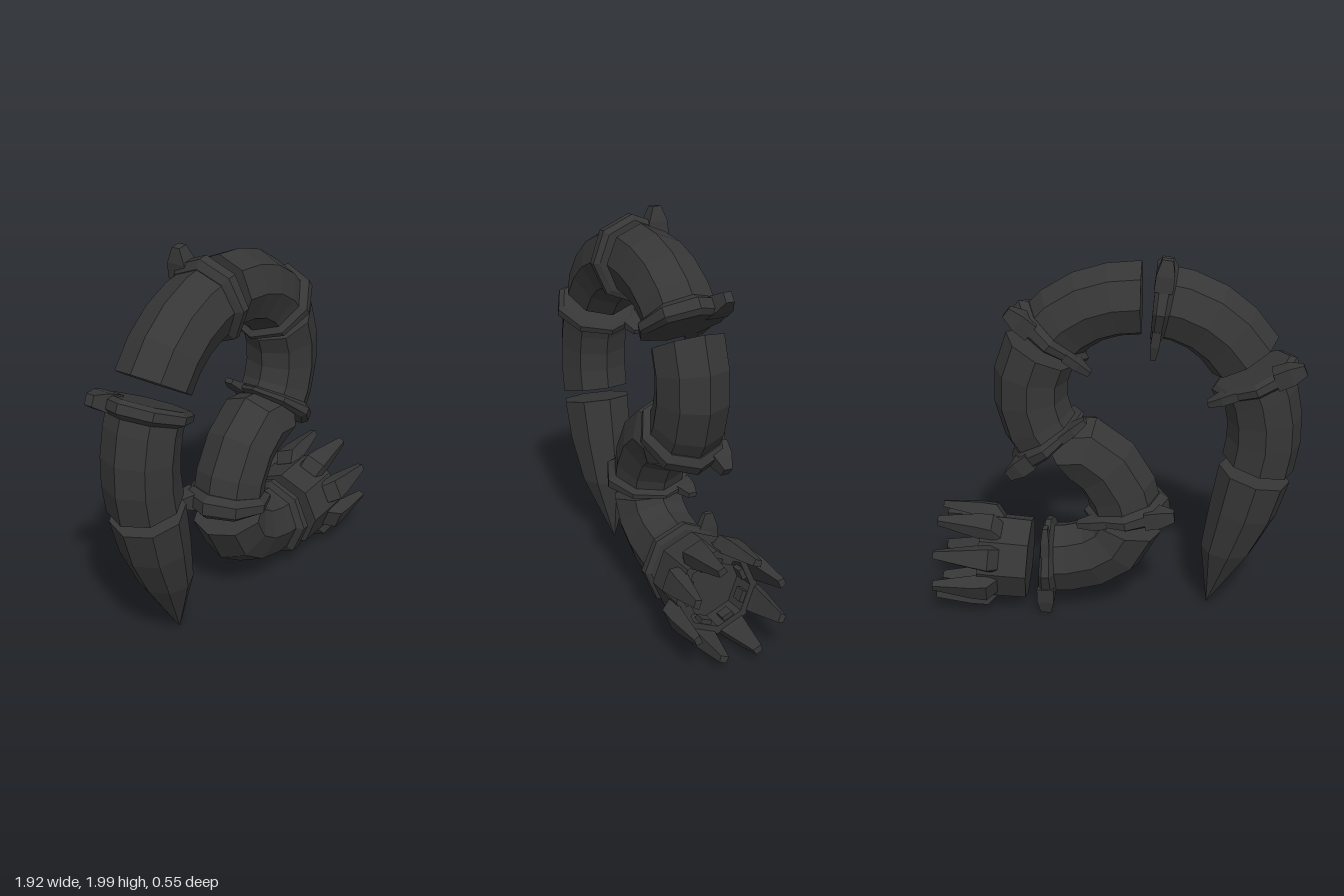
import * as THREE from 'three';

const SIDES = 8;
const V = (x, y, z = 0) => new THREE.Vector3(x, y, z);

// Skin equal-length point loops (counter-clockwise about the direction of travel) and cap both ends
function loft(loops) {
  const pos = [], n = loops[0].length;
  const tri = (...p) => p.forEach(v => pos.push(v.x, v.y, v.z));
  for (let i = 0; i < loops.length - 1; i++) {
    const a = loops[i], b = loops[i + 1];
    for (let k = 0; k < n; k++) {
      const m = (k + 1) % n;
      tri(a[k], a[m], b[m]);
      tri(a[k], b[m], b[k]);
    }
  }
  const first = loops[0], last = loops[loops.length - 1];
  for (let k = 1; k < n - 1; k++) {
    tri(first[0], first[k + 1], first[k]);
    tri(last[0], last[k], last[k + 1]);
  }
  const geo = new THREE.BufferGeometry();
  geo.setAttribute('position', new THREE.Float32BufferAttribute(pos, 3));
  geo.computeVertexNormals();
  return geo;
}

// Cross-section frame: centre, tangent and in-plane normal
function frame(P, tangent) {
  const T = tangent.clone().normalize();
  return { P, T, N: V(-T.y, T.x) };
}

const frameAt = (curve, t) => frame(curve.getPoint(t), curve.getTangent(t));

const place = (f, n, z, t = 0) => f.P.clone().addScaledVector(f.N, n).addScaledVector(f.T, t).add(V(0, 0, z));

function octagon(f, r) {
  return Array.from({ length: SIDES }, (_, k) => {
    const a = k * Math.PI * 2 / SIDES;
    return place(f, r * Math.cos(a), r * Math.sin(a));
  });
}

// sections: [curve parameter, radius]
const sweep = (curve, sections) => loft(sections.map(([t, r]) => octagon(frameAt(curve, t), r)));

export function createModel() {
  const model = new THREE.Group();
  model.name = 'segmentedTentacle';
  const mat = new THREE.MeshStandardMaterial({ color: 0x363636, flatShading: true });
  mat.name = 'charcoal';
  const add = (parent, name, geo) => {
    const mesh = new THREE.Mesh(geo, mat);
    mesh.name = name;
    parent.add(mesh);
    return mesh;
  };

  // Curved segments: start, start direction, end, end direction, side of the outer bend
  const segments = [
    [[-0.75, 0.87], [-0.24, 0.97], [-0.70, 1.38], [0.41, 0.91], 1],
    [[-0.66, 1.46], [0.53, 0.85], [-0.20, 1.74], [1, 0.08], 1],
    [[-0.14, 1.75], [1, 0], [0.33, 1.53], [0.56, -0.83], 1],
    [[0.37, 1.47], [0.46, -0.89], [0.31, 0.96], [-0.68, -0.73], 1],
    [[0.275, 0.915], [-0.87, 0.5], [-0.075, 0.548], [-0.02, -1], -1],
    [[-0.07, 0.49], [0.25, -0.97], [0.385, 0.27], [1, 0.05], -1],
  ];
  segments.forEach(([s, ds, e, de, outer], i) => {
    const group = new THREE.Group();
    group.name = 'segment' + (i + 1);
    model.add(group);
    const p0 = V(...s), p3 = V(...e), h = p0.distanceTo(p3) * 0.37;
    const curve = new THREE.CubicBezierCurve3(
      p0, p0.clone().addScaledVector(V(...ds).normalize(), h),
      p3.clone().addScaledVector(V(...de).normalize(), -h), p3);
    add(group, 'tube', sweep(curve, [0, 0.25, 0.5, 0.75, 0.97].map(t => [t, 0.19])));
    add(group, 'collar', sweep(curve, [[0.86, 0.19], [0.9, 0.228], [0.97, 0.228], [1, 0.2]]));

    // Two blunt spikes on the back of the collar, thicker on the outer bend
    const f = frameAt(curve, 0.94);
    for (const side of [1, -1]) {
      const thick = side === outer ? 0.045 : 0.022;
      const quad = (r, z, hz, ht) => [[1, 1], [-1, 1], [-1, -1], [1, -1]].map(
        ([a, b]) => place(f, side * r, z + side * a * hz, b * ht));
      add(group, 'spike', loft([quad(0.1, -0.13, 0.06, thick), quad(0.18, -0.135, 0.05, thick),
        quad(0.255, -0.14, 0.022, thick * 0.6)]));
    }
  });

  // Pointed tail tip: centre, direction, radius
  add(model, 'tailTip', loft([
    [V(-0.735, 0.807), V(0.24, -0.97), 0.19],
    [V(-0.685, 0.6), V(0.2, -0.97), 0.178],
    [V(-0.61, 0.365), V(0.05, -1), 0.14],
    [V(-0.51, 0.02), V(0, -1), 0.003],
  ].map(([p, t, r]) => octagon(frame(p, t), r))));

  // Claw head, built along local +x: hollow socket with a recessed floor
  const head = new THREE.Group();
  head.name = 'clawHead';
  head.position.set(0.452, 0.262, 0);
  head.rotation.z = 0.07;
  model.add(head);
  add(head, 'socket', loft([[0, 0.225], [0.15, 0.228], [0.26, 0.225], [0.26, 0.185], [0.14, 0.18]].map(
    ([x, r]) => octagon(frame(V(x, 0), V(1, 0)), r))));

  // Eight claws around the socket, each with a small inner clamp
  const clawSections = [ // x, inner radius, outer radius, half width
    [0.15, 0.18, 0.212, 0.07], [0.2, 0.19, 0.272, 0.075],
    [0.29, 0.205, 0.276, 0.06], [0.49, 0.232, 0.265, 0.024],
  ];
  const clawGeo = loft(clawSections.map(([x, r0, r1, w]) =>
    [V(x, r1, -w * 0.75), V(x, r1, w * 0.75), V(x, r0, w), V(x, r0, -w)]));
  const clampGeo = new THREE.BoxGeometry(0.06, 0.03, 0.06).translate(0.225, 0.162, 0);
  for (let k = 0; k < SIDES; k++) {
    const a = (k + 0.5) * Math.PI * 2 / SIDES;
    add(head, 'claw', clawGeo).rotation.x = a;
    add(head, 'clamp', clampGeo).rotation.x = a;
  }
  return model;
}
